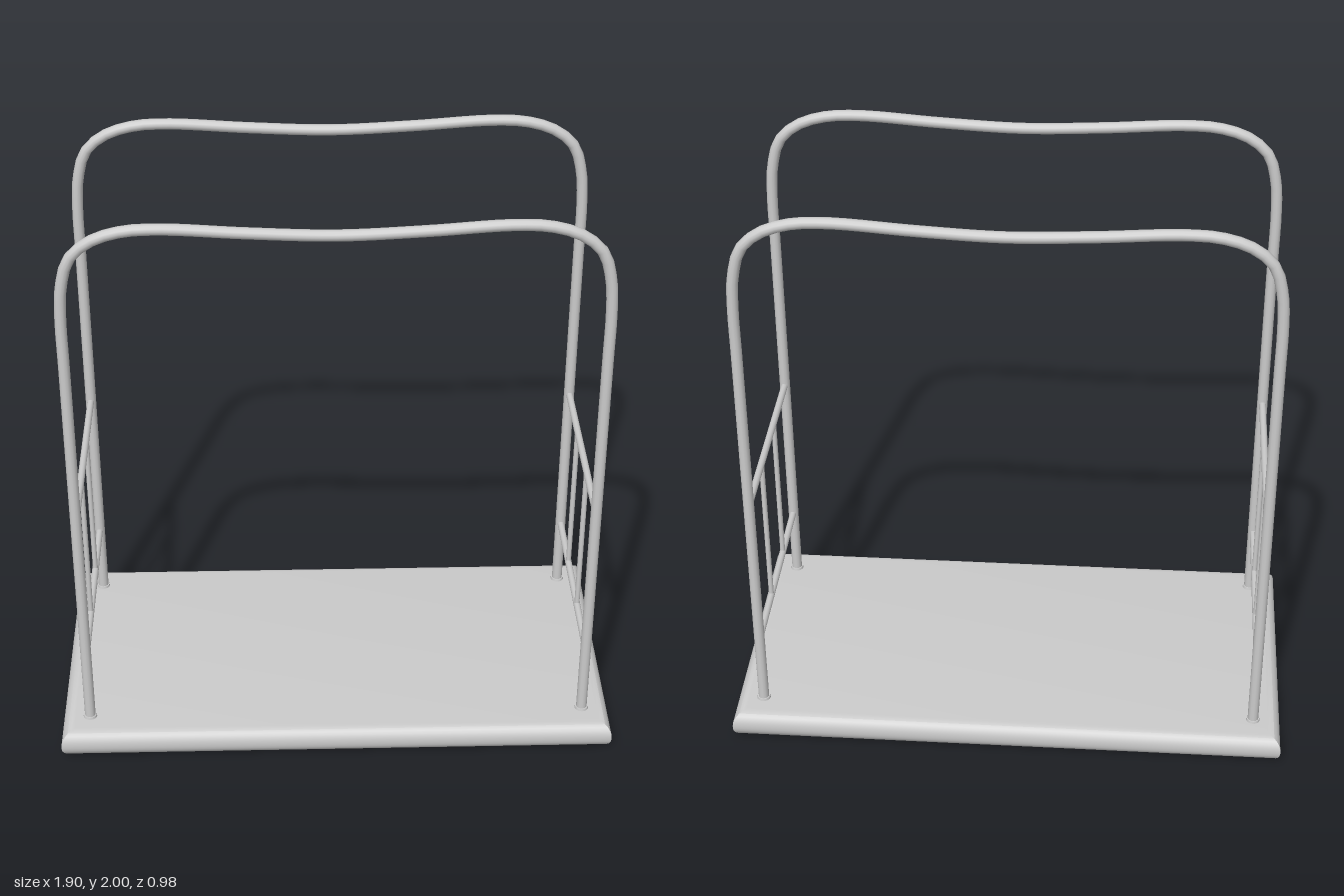
import * as THREE from 'three';
import { toCreasedNormals } from 'three/addons/utils/BufferGeometryUtils.js';

const grey = new THREE.MeshStandardMaterial({ color: 0xcccccc });
const POST_X = 0.853, HOOP_Z = 0.38;

function add(parent, name, geometry, x = 0, y = 0, z = 0) {
  const mesh = new THREE.Mesh(geometry, grey);
  mesh.name = name;
  mesh.position.set(x, y, z);
  parent.add(mesh);
  return mesh;
}

// Slab with rounded edges and square, mitred corners
function slabGeometry(halfX, halfZ, height, bevel) {
  const x = halfX - bevel, z = halfZ - bevel;
  const shape = new THREE.Shape([
    new THREE.Vector2(-x, -z), new THREE.Vector2(x, -z),
    new THREE.Vector2(x, z), new THREE.Vector2(-x, z),
  ]);
  const geometry = new THREE.ExtrudeGeometry(shape, {
    depth: height - 2 * bevel, bevelThickness: bevel, bevelSize: bevel, bevelSegments: 6,
  });
  geometry.translate(0, 0, bevel);
  geometry.rotateX(-Math.PI / 2);
  return toCreasedNormals(geometry, 0.6);
}

// Bent tube: two uprights joined by a top bar that dips in the middle
function hoopGeometry() {
  const half = [
    [POST_X, 0.09], [POST_X, 0.8], [POST_X, 1.5], [POST_X, 1.675], [0.845, 1.785],
    [0.815, 1.885], [0.75, 1.943], [0.655, 1.975], [0.54, 1.982], [0.27, 1.965],
  ];
  const points = [
    ...half.map(([x, y]) => new THREE.Vector3(-x, y, 0)),
    new THREE.Vector3(0, 1.954, 0),
    ...half.slice().reverse().map(([x, y]) => new THREE.Vector3(x, y, 0)),
  ];
  const curve = new THREE.CatmullRomCurve3(points, false, 'centripetal');
  return new THREE.TubeGeometry(curve, 120, 0.0185, 12, false);
}

export function createModel() {
  const model = new THREE.Group();
  model.name = 'hoopedPlatform';

  add(model, 'base', slabGeometry(0.948, 0.49, 0.1, 0.045));

  // Front and back hoops with foot collars
  const hoop = hoopGeometry();
  const collar = new THREE.CylinderGeometry(0.022, 0.024, 0.01, 16);
  for (const z of [HOOP_Z, -HOOP_Z]) {
    add(model, z > 0 ? 'frontHoop' : 'backHoop', hoop, 0, 0, z);
    for (const x of [POST_X, -POST_X]) add(model, 'footCollar', collar, x, 0.103, z);
  }

  // End railings: two horizontal rails and two uprights each
  const railGeometry = new THREE.CylinderGeometry(0.012, 0.012, 2 * HOOP_Z, 12);
  railGeometry.rotateX(Math.PI / 2);
  const barGeometry = new THREE.CylinderGeometry(0.009, 0.009, 0.56, 12);
  for (const x of [POST_X, -POST_X]) {
    const railing = new THREE.Group();
    railing.name = x > 0 ? 'leftRailing' : 'rightRailing';
    railing.position.x = x;
    for (const y of [0.357, 0.917]) add(railing, 'rail', railGeometry, 0, y, 0);
    for (const z of [-0.127, 0.127]) add(railing, 'upright', barGeometry, 0, 0.637, z);
    model.add(railing);
  }
  return model;
}
